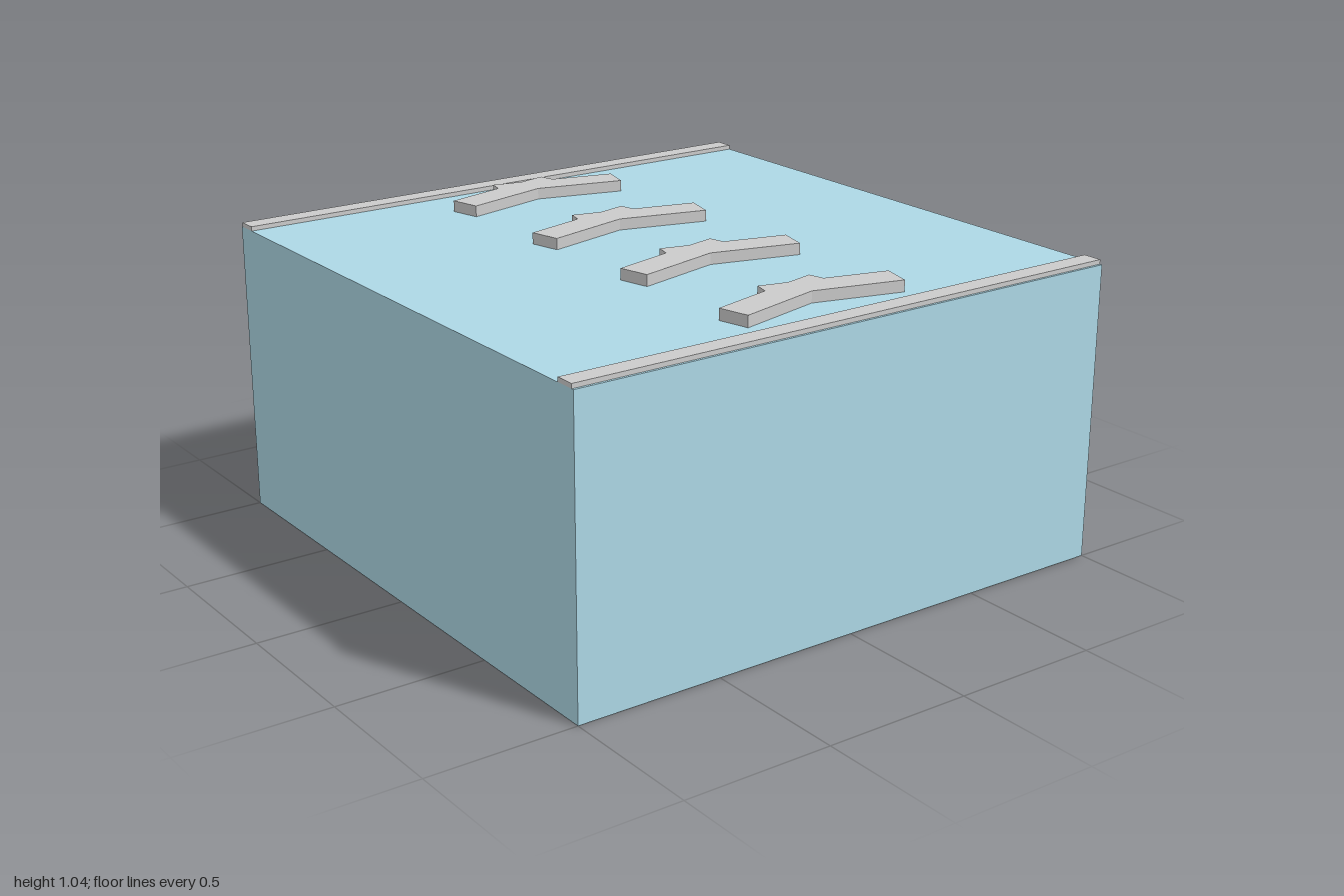
import * as THREE from 'three';

export function createModel() {
  const model = new THREE.Group();
  const blue = new THREE.MeshStandardMaterial({ color: 0xadd8e6 });
  const grey = new THREE.MeshStandardMaterial({ color: 0xcccccc });

  const add = (name, geometry, material, x, y, z) => {
    const mesh = new THREE.Mesh(geometry, material);
    mesh.name = name;
    mesh.position.set(x, y, z);
    model.add(mesh);
  };

  // Solid base block
  add('baseBlock', new THREE.BoxGeometry(2, 1, 2), blue, 0, 0.5, 0);

  // Low rails along the front and back edges
  const rail = new THREE.BoxGeometry(2, 0.015, 0.067);
  add('frontRail', rail, grey, 0, 1.0075, 0.958);
  add('backRail', rail, grey, 0, 1.0075, -0.96);

  // Chevron outline: left half as [x, z], mirrored for the right half
  const half = [[0, 0.027], [0.3, 0.104], [0.326, 0], [0.113, -0.055], [0.1, -0.108], [0, -0.084]];
  const mirrored = half.slice(1, -1).reverse().map(([x, z]) => [-x, z]);
  const outline = [...half, ...mirrored].map(([x, z]) => new THREE.Vector2(x, -z));
  const chevron = new THREE.ExtrudeGeometry(new THREE.Shape(outline), { depth: 0.038, bevelEnabled: false });
  chevron.rotateX(-Math.PI / 2);

  // Row of four raised chevrons, pointing to the back
  for (let i = 0; i < 4; i++) {
    add(`chevron${i + 1}`, chevron, grey, 0, 1, -0.75 + i * 0.5);
  }
  return model;
}
